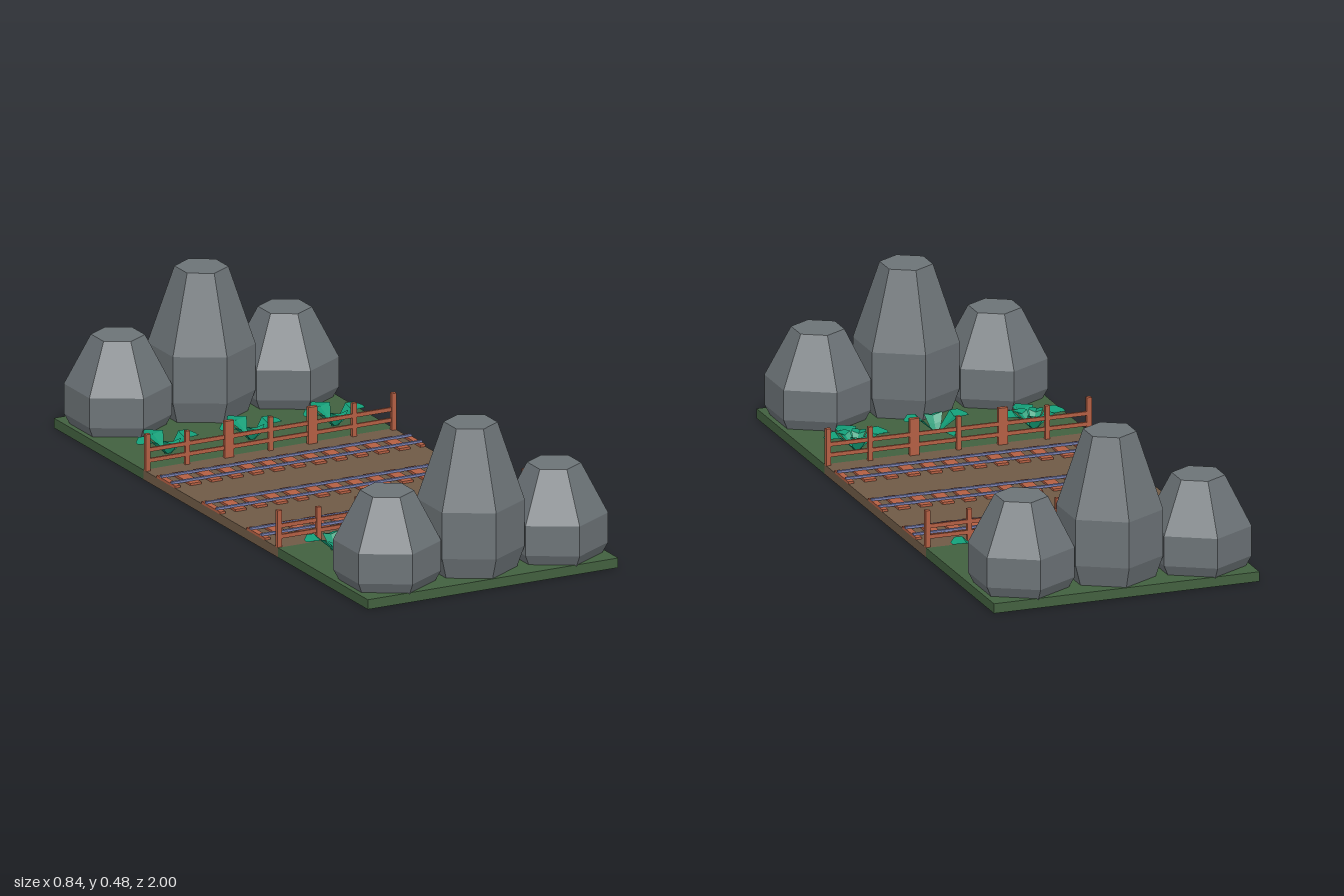
import * as THREE from 'three';

const mat = (name, color, extra = {}) => {
  const m = new THREE.MeshStandardMaterial({ color, flatShading: true, ...extra });
  m.name = name;
  return m;
};

export function createModel() {
  const model = new THREE.Group();
  model.name = 'railwayCrossing';
  const grass = mat('grass', 0x42603f);
  const dirt = mat('dirt', 0x6f5a46);
  const stone = mat('stone', 0x6c7377);
  const wood = mat('wood', 0xb45f43);
  const steel = mat('steel', 0x7a82b4);
  const leafGreen = mat('leaf', 0x129c76, { side: THREE.DoubleSide });

  const add = (parent, name, geometry, material, x = 0, y = 0, z = 0) => {
    const mesh = new THREE.Mesh(geometry, material);
    mesh.name = name;
    mesh.position.set(x, y, z);
    parent.add(mesh);
    return mesh;
  };
  const group = (name, x = 0, z = 0) => {
    const g = new THREE.Group();
    g.name = name;
    g.position.set(x, 0, z);
    model.add(g);
    return g;
  };
  const box = (parent, name, m, w, h, d, x, y, z) =>
    add(parent, name, new THREE.BoxGeometry(w, h, d), m, x, y + h / 2, z);

  // Ground slab: dirt in the middle, grass at both ends
  box(model, 'dirtBed', dirt, 0.84, 0.03, 0.84, 0, 0, 0);
  for (const s of [-1, 1]) box(model, 'grassStrip', grass, 0.84, 0.03, 0.56, 0, 0, s * 0.7);

  // Six-sided boulders, the middle one taller
  const boulder = (x, z, h) => {
    const low = 0.003;
    const profile = [[0, low], [0.128, low], [0.16, h * 0.2], [0.16, h * 0.5], [0.08, h], [0, h]];
    const geo = new THREE.LatheGeometry(profile.map(([r, y]) => new THREE.Vector2(r, y)), 6);
    add(model, 'boulder', geo, stone, x, 0, z);
  };
  for (const z of [-0.84, 0.84])
    for (const x of [-0.28, 0, 0.28]) boulder(x, z, x === 0 ? 0.478 : 0.309);

  // Three tracks: sleepers, with half ones at the slab ends, and two rails
  for (const z of [-0.28, 0, 0.28]) {
    const track = group('track', 0, z);
    for (let i = -6; i <= 6; i++) {
      const end = Math.abs(i) === 6;
      const x = end ? Math.sign(i) * 0.411 : i * 0.07;
      box(track, 'sleeper', wood, end ? 0.018 : 0.037, 0.008, 0.116, x, 0.029, 0);
    }
    for (const s of [-1, 1]) box(track, 'rail', steel, 0.84, 0.007, 0.009, 0, 0.036, s * 0.033);
  }

  // Fences in three panels each
  for (const z of [-0.41, 0.41])
    for (const x of [-0.28, 0, 0.28]) {
      const fence = group('fencePanel', x, z);
      for (const s of [-1, 1]) box(fence, 'endPost', wood, 0.015, 0.115, 0.014, s * 0.1325, 0.029, 0);
      box(fence, 'middlePost', wood, 0.014, 0.105, 0.012, 0, 0.029, 0);
      for (const y of [0.055, 0.088]) box(fence, 'fenceRail', wood, 0.28, 0.012, 0.007, 0, y, 0);
    }

  // Leaf from cross-sections [reach, height, half width], creased along the middle
  const leafGeometry = (rows) => {
    const pos = [], index = [];
    rows.forEach(([r, y, w], i) => {
      pos.push(-w, y, r, 0, y - w * 0.25, r, w, y, r);
      if (i === 0) return;
      const a = i * 3 - 3;
      for (const k of [a, a + 1]) index.push(k, k + 3, k + 1, k + 1, k + 3, k + 4);
    });
    const geo = new THREE.BufferGeometry();
    geo.setAttribute('position', new THREE.Float32BufferAttribute(pos, 3));
    geo.setIndex(index);
    const flat = geo.toNonIndexed();
    flat.computeVertexNormals();
    return flat;
  };
  const broad = leafGeometry([[0.005, 0.03, 0.01], [0.025, 0.05, 0.018], [0.055, 0.08, 0.036], [0.08, 0.081, 0.034], [0.1, 0.074, 0.012]]);
  const stub = leafGeometry([[0.005, 0.03, 0.012], [0.015, 0.055, 0.022], [0.028, 0.08, 0.03], [0.045, 0.074, 0.016]]);
  const long = leafGeometry([[0.005, 0.03, 0.01], [0.05, 0.05, 0.014], [0.09, 0.07, 0.033], [0.145, 0.06, 0.002]]);

  // Ferns: two broad side leaves, a short one and a long one
  const fern = (x, z, turn, extra) => {
    const plant = group('fern', x, z);
    plant.rotation.y = turn;
    for (const s of [-1, 1]) {
      add(plant, 'sideLeaf', broad, leafGreen).rotation.y = s * Math.PI / 2;
      if (extra) {
        const small = add(plant, 'smallLeaf', broad, leafGreen);
        small.rotation.y = Math.PI + s * 0.5;
        small.scale.set(0.6, 0.9, 0.8);
      }
    }
    add(plant, 'shortLeaf', stub, leafGreen);
    add(plant, 'longLeaf', long, leafGreen).rotation.y = Math.PI;
  };
  for (const x of [-0.28, 0, 0.28]) {
    fern(x, -0.53, 0, false);
    if (x === 0) fern(x, 0.59, 0, false);
    else fern(x, 0.52, Math.PI, true);
  }

  return model;
}
